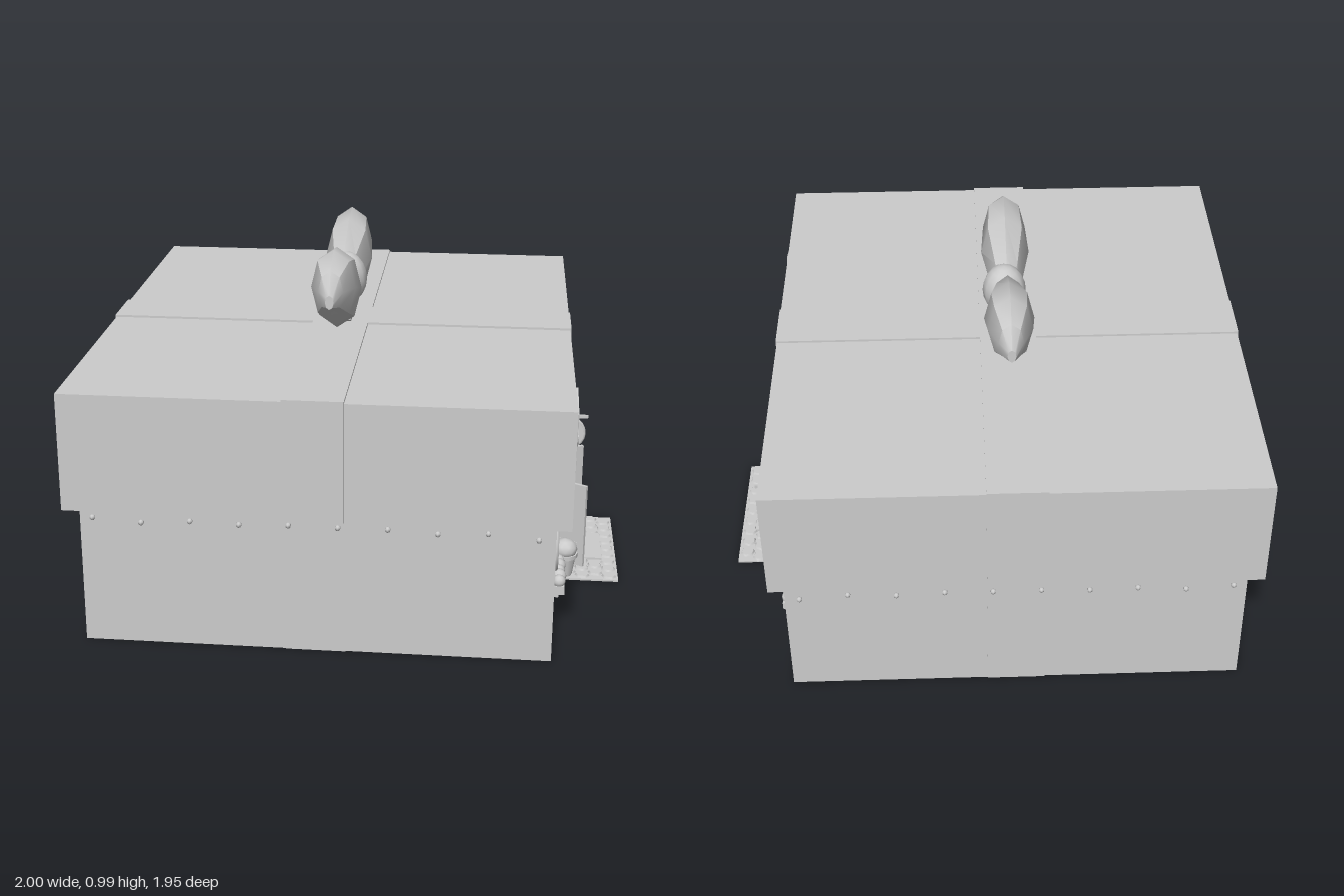
import * as THREE from 'three';
import { toCreasedNormals } from 'three/addons/utils/BufferGeometryUtils.js';

const clay = new THREE.MeshStandardMaterial({ color: 0xcccccc, side: THREE.DoubleSide });
clay.name = 'light grey';

// Half sizes and heights of the base box and of the lid
const BW = 0.718, BD = 0.626, LW = 0.76, LD = 0.663, RIM = 0.395, TOP = 0.718;

function add(parent, name, geo, x = 0, y = 0, z = 0) {
  const mesh = new THREE.Mesh(geo, clay);
  mesh.name = name;
  mesh.position.set(x, y, z);
  parent.add(mesh);
  return mesh;
}
function group(parent, name, x = 0, y = 0, z = 0) {
  const g = new THREE.Group();
  g.name = name;
  g.position.set(x, y, z);
  parent.add(g);
  return g;
}
const box = (w, h, d) => new THREE.BoxGeometry(w, h, d);
const extrude = (shape, depth) => new THREE.ExtrudeGeometry(shape, { depth, bevelEnabled: false, curveSegments: 8 });

function rect(Type, x0, y0, x1, y1) {
  const s = new Type();
  s.moveTo(x0, y0); s.lineTo(x1, y0); s.lineTo(x1, y1); s.lineTo(x0, y1); s.closePath();
  return s;
}
function heart(Type, r, y = 0) {
  const s = new Type();
  s.moveTo(0, y - r);
  s.bezierCurveTo(r * 0.4, y - r * 0.6, r, y - r * 0.1, r, y + r * 0.35);
  s.bezierCurveTo(r, y + r, r * 0.2, y + r, 0, y + r * 0.5);
  s.bezierCurveTo(-r * 0.2, y + r, -r, y + r, -r, y + r * 0.35);
  s.bezierCurveTo(-r, y - r * 0.1, -r * 0.4, y - r * 0.6, 0, y - r);
  return s;
}

// Closed skin over elliptical sections [x, low y, high y, half depth]
function loft(sections, n = 8) {
  const pos = [], idx = [];
  for (const [x, lo, hi, hd] of sections)
    for (let j = 0; j < n; j++) {
      const a = (j / n) * Math.PI * 2;
      pos.push(x, (lo + hi) / 2 + ((hi - lo) / 2) * Math.cos(a), hd * Math.sin(a));
    }
  const last = (sections.length - 1) * n;
  for (let i = 0; i < last; i += n)
    for (let j = 0; j < n; j++) {
      const k = (j + 1) % n;
      idx.push(i + j, i + k, i + n + j, i + k, i + n + k, i + n + j);
    }
  for (let j = 1; j < n - 1; j++) idx.push(0, j + 1, j, last, last + j, last + j + 1);
  const g = new THREE.BufferGeometry();
  g.setAttribute('position', new THREE.Float32BufferAttribute(pos, 3));
  g.setIndex(idx);
  return toCreasedNormals(g, 0.6);
}

function addWindow(parent, x) {
  const w = group(parent, 'window', x, 0.215, BD);
  add(w, 'windowFrame', new THREE.TorusGeometry(0.066, 0.009, 6, 24), 0, 0, 0.008);
  add(w, 'windowPane', new THREE.CircleGeometry(0.064, 24), 0, 0, 0.003);
  add(w, 'upright', box(0.012, 0.13, 0.012), 0, 0, 0.006);
  add(w, 'crossbar', box(0.13, 0.012, 0.012), 0, 0, 0.006);
  add(w, 'flowerBox', box(0.165, 0.024, 0.035), 0, -0.1, 0.018);
  for (const s of [-1, 1]) add(w, 'bracket', box(0.012, 0.02, 0.02), s * 0.06, -0.118, 0.01);
  for (let i = -2; i <= 2; i++)
    add(w, 'flower', new THREE.IcosahedronGeometry(0.018 + 0.003 * (Math.abs(i) % 2), 1), i * 0.033, -0.078, 0.02);
}

function addPot(parent, x) {
  const p = group(parent, 'plantPot', x, 0, 0.672);
  add(p, 'pot', new THREE.CylinderGeometry(0.034, 0.024, 0.065, 10), 0, 0.038, 0);
  add(p, 'potRim', new THREE.CylinderGeometry(0.038, 0.038, 0.012, 10), 0, 0.068, 0);
  add(p, 'bush', new THREE.IcosahedronGeometry(0.037, 1), 0, 0.086, 0).scale.y = 0.85;
}

export function createModel() {
  const model = new THREE.Group();
  model.name = 'giftBoxHouse';
  const house = group(model, 'house');
  house.rotation.y = THREE.MathUtils.degToRad(34);

  // Hollow base with a doorway
  const T = 0.008;
  const front = rect(THREE.Shape, -BW, 0, -0.11, RIM);
  front.setFromPoints([[-BW, 0], [-0.11, 0], [-0.11, 0.27], [0.11, 0.27], [0.11, 0], [BW, 0], [BW, RIM], [-BW, RIM]]
    .map(([x, y]) => new THREE.Vector2(x, y)));
  add(house, 'frontWall', extrude(front, T), 0, 0, BD - T);
  add(house, 'backWall', box(2 * BW, RIM, T), 0, RIM / 2, -BD + T / 2);
  for (const s of [-1, 1]) add(house, 'sideWall', box(T, RIM, 2 * BD), s * (BW - T / 2), RIM / 2, 0);

  // Lid: top, skirt and the rim underneath
  const H = TOP - RIM, mid = (TOP + RIM) / 2;
  add(house, 'lidTop', box(2 * LW, T, 2 * LD), 0, TOP - T / 2, 0);
  for (const s of [-1, 1]) {
    add(house, 'lidSkirt', box(2 * LW, H, T), 0, mid, s * (LD - T / 2));
    add(house, 'lidSkirt', box(T, H, 2 * LD), s * (LW - T / 2), mid, 0);
  }
  const rim = rect(THREE.Shape, -LW, -LD, LW, LD);
  rim.holes.push(rect(THREE.Path, -BW + T, -BD + T, BW - T, BD - T));
  add(house, 'lidRim', new THREE.ShapeGeometry(rim), 0, RIM, 0).rotation.x = Math.PI / 2;

  // Ribbon straps
  const R = 0.16, K = 0.006;
  add(house, 'topRibbon', box(2 * LW + K, K, R), 0, TOP + K / 2, 0);
  add(house, 'topRibbon', box(R, K, 2 * LD + K), 0, TOP + K / 2, 0);
  for (const s of [-1, 1]) {
    add(house, 'lidRibbon', box(R, H + K, K), 0, mid, s * LD);
    add(house, 'lidRibbon', box(K, H + K, R), s * LW, mid, 0);
    add(house, 'baseRibbon', box(K, RIM, R), s * BW, RIM / 2, 0);
  }
  add(house, 'baseRibbon', box(R, RIM, K), 0, RIM / 2, -BD);

  // Bow
  const bow = group(house, 'bow');
  const loop = loft([[0.02, 0.79, 0.88, 0.03], [0.05, 0.735, 0.915, 0.045], [0.17, 0.735, 0.97, 0.07],
    [0.265, 0.775, 0.985, 0.062], [0.335, 0.825, 0.945, 0.035], [0.37, 0.845, 0.885, 0.012]]);
  for (const a of [0, Math.PI]) add(bow, 'bowLoop', loop).rotation.y = a;
  add(bow, 'bowKnot', new THREE.SphereGeometry(0.062, 12, 10), 0, 0.835, 0.008).scale.y = 1.25;
  for (const s of [-1, 1])
    add(bow, 'bowFoot', box(0.05, 0.07, 0.06), s * 0.045, 0.75, 0).rotation.z = s * 0.5;

  // Small lights hung below the lid on the front and both sides
  const bulb = new THREE.SphereGeometry(0.008, 6, 5);
  for (let i = 0; i < 10; i++) {
    const t = (i - 4.5) / 4.5, y = 0.386 - (i % 2) * 0.012 * Math.abs(t) - 0.006;
    add(house, 'light', bulb, t * 0.675, y, LD - 0.008);
    for (const s of [-1, 1]) add(house, 'light', bulb, s * (LW + 0.002), y, t * 0.58);
  }

  // Doorway, open door leaves, windows and pots
  for (const s of [-1, 1]) {
    add(house, 'doorPost', box(0.016, 0.28, 0.026), s * 0.116, 0.14, BD);
    const leaf = group(house, 'doorLeaf', s * 0.11, 0.145, BD + 0.008);
    leaf.rotation.y = -s * Math.PI / 3;
    add(leaf, 'panel', box(0.11, 0.255, 0.01), s * 0.055, 0, 0);
    add(leaf, 'heart', extrude(heart(THREE.Shape, 0.014), 0.014), s * 0.055, 0.06, -0.007);
    add(leaf, 'kickPlate', box(0.07, 0.012, 0.014), s * 0.055, -0.06, 0);
    add(leaf, 'knob', new THREE.SphereGeometry(0.007, 8, 6), s * 0.095, -0.01, 0.008);
    addWindow(house, s * 0.45);
    addPot(house, s * 0.195);
  }
  add(house, 'lintel', box(0.275, 0.026, 0.035), 0, 0.29, BD + 0.008);

  // Doorstep with cobbles and a mat
  add(house, 'doorstep', box(0.45, 0.005, 0.25), 0, 0.0025, 0.705);
  const cobble = new THREE.CylinderGeometry(0.018, 0.023, 0.007, 6);
  for (let r = 0; r < 5; r++)
    for (let c = 0; c < 9; c++) {
      const x = (c - 4) * 0.048 + (r % 2 ? 0.012 : -0.008), z = 0.648 + r * 0.039;
      if (Math.abs(x) < 0.1 && r < 4) continue;
      add(house, 'cobble', cobble, x, 0.007, z).rotation.y = r + c * 0.7;
    }
  add(house, 'doorMat', box(0.18, 0.007, 0.085), 0, 0.0075, 0.745);

  // Hanging round sign, edge-on to the front
  const sign = group(house, 'hangingSign', 0.256, 0, 0);
  add(sign, 'signArm', box(0.008, 0.01, 0.12), 0, 0.333, BD + 0.06);
  add(sign, 'signBoard', new THREE.CylinderGeometry(0.05, 0.05, 0.012, 20), 0, 0.278, 0.685).rotation.z = Math.PI / 2;
  add(sign, 'signEdge', new THREE.TorusGeometry(0.05, 0.006, 6, 20), 0, 0.278, 0.685).rotation.y = Math.PI / 2;

  // Gift tag on the lid
  const tag = group(house, 'giftTag', -0.487, 0.56, LD);
  tag.rotation.z = 0.22;
  const card = rect(THREE.Shape, -0.068, -0.1, 0.068, 0.1);
  card.holes.push(new THREE.Path().absarc(0, 0.075, 0.011, 0, Math.PI * 2, true));
  add(tag, 'tagCard', extrude(card, 0.012));
  const outline = heart(THREE.Shape, 0.036, -0.01);
  outline.holes.push(heart(THREE.Path, 0.031, -0.01));
  add(tag, 'tagHeart', extrude(outline, 0.004), 0, 0, 0.012);

  return model;
}
